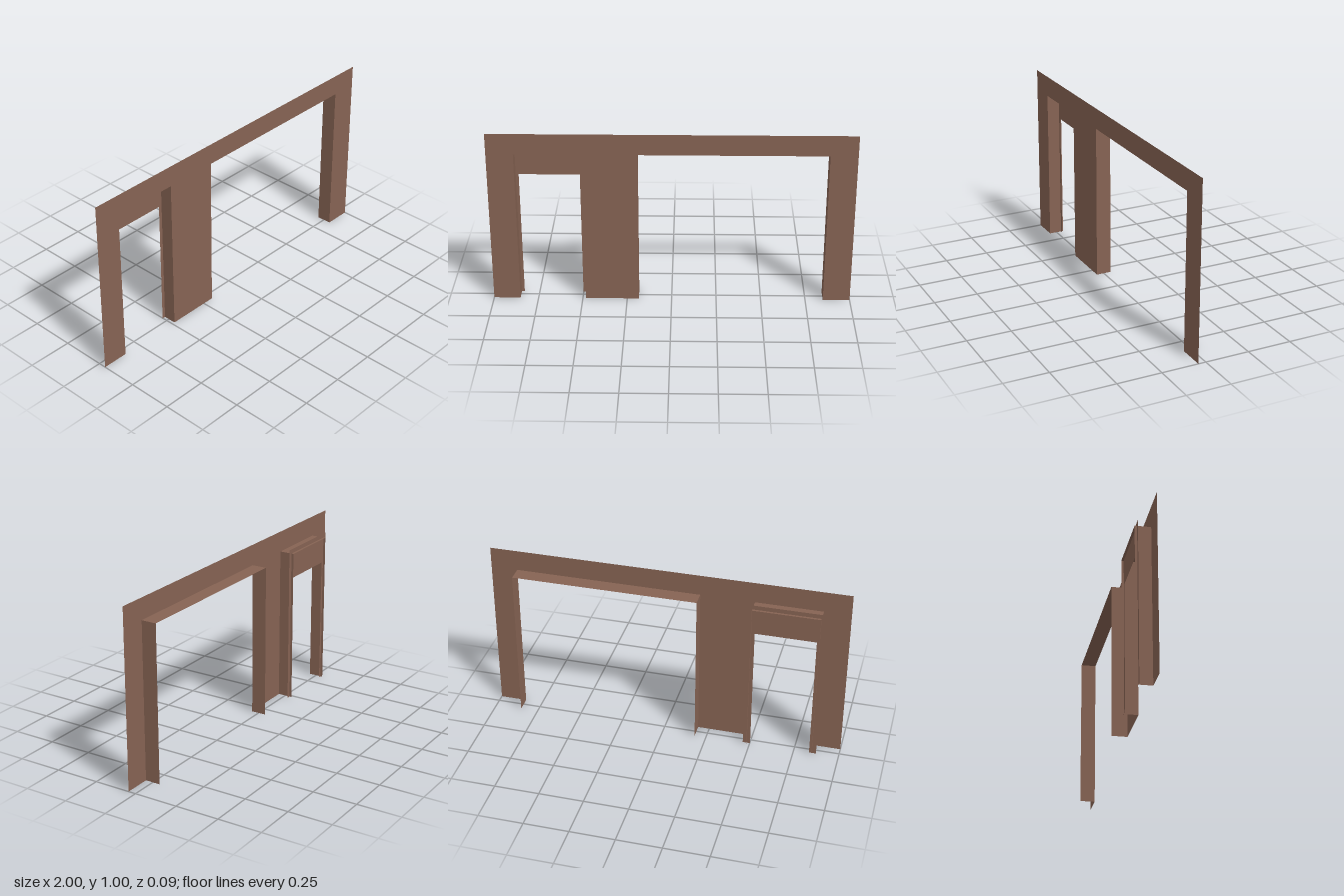
import * as THREE from 'three';

const FRONT = 0.043, BACK = -0.043, FRAME_Z = -0.03;
const DOOR = { x0: -0.852, x1: -0.483, top: 0.882 };
const GARAGE = { x0: -0.185, x1: 0.85, top: 0.882 };

const brown = new THREE.MeshStandardMaterial({ color: 0x866353, side: THREE.DoubleSide });

function addMesh(parent, name, geometry) {
  const mesh = new THREE.Mesh(geometry, brown);
  mesh.name = name;
  parent.add(mesh);
  return mesh;
}

// Flat sheet standing on the ground, with openings cut up from its lower edge
function sheet(x0, x1, top, openings) {
  const s = new THREE.Shape();
  s.moveTo(x0, 0);
  for (const o of openings) {
    s.lineTo(o.x0, 0);
    s.lineTo(o.x0, o.top);
    s.lineTo(o.x1, o.top);
    s.lineTo(o.x1, 0);
  }
  s.lineTo(x1, 0);
  s.lineTo(x1, top);
  s.lineTo(x0, top);
  s.closePath();
  return new THREE.ShapeGeometry(s);
}

// Two side linings and a top lining running back from an opening
function reveal(name, o) {
  const group = new THREE.Group();
  group.name = name;
  const depth = FRONT - BACK, mid = (FRONT + BACK) / 2;
  for (const [side, x, turn] of [['right', o.x0, 1], ['left', o.x1, -1]]) {
    const g = new THREE.PlaneGeometry(depth, o.top).rotateY(turn * Math.PI / 2);
    addMesh(group, side + 'Lining', g).position.set(x, o.top / 2, mid);
  }
  const g = new THREE.PlaneGeometry(o.x1 - o.x0, depth).rotateX(Math.PI / 2);
  addMesh(group, 'topLining', g).position.set((o.x0 + o.x1) / 2, o.top, mid);
  return group;
}

export function createModel() {
  const model = new THREE.Group();
  model.name = 'wallWithOpenings';

  // Front wall sheet
  addMesh(model, 'wall', sheet(-1, 1, 1, [DOOR, GARAGE])).position.z = FRONT;

  // Linings of both openings
  model.add(reveal('doorReveal', DOOR), reveal('garageReveal', GARAGE));

  // Door frame sheet with deep transom, set back inside the lining
  const inner = { x0: -0.836, x1: -0.502, top: 0.732 };
  addMesh(model, 'doorFrame', sheet(-0.875, -0.46, 0.906, [inner])).position.z = FRAME_Z;

  return model;
}
